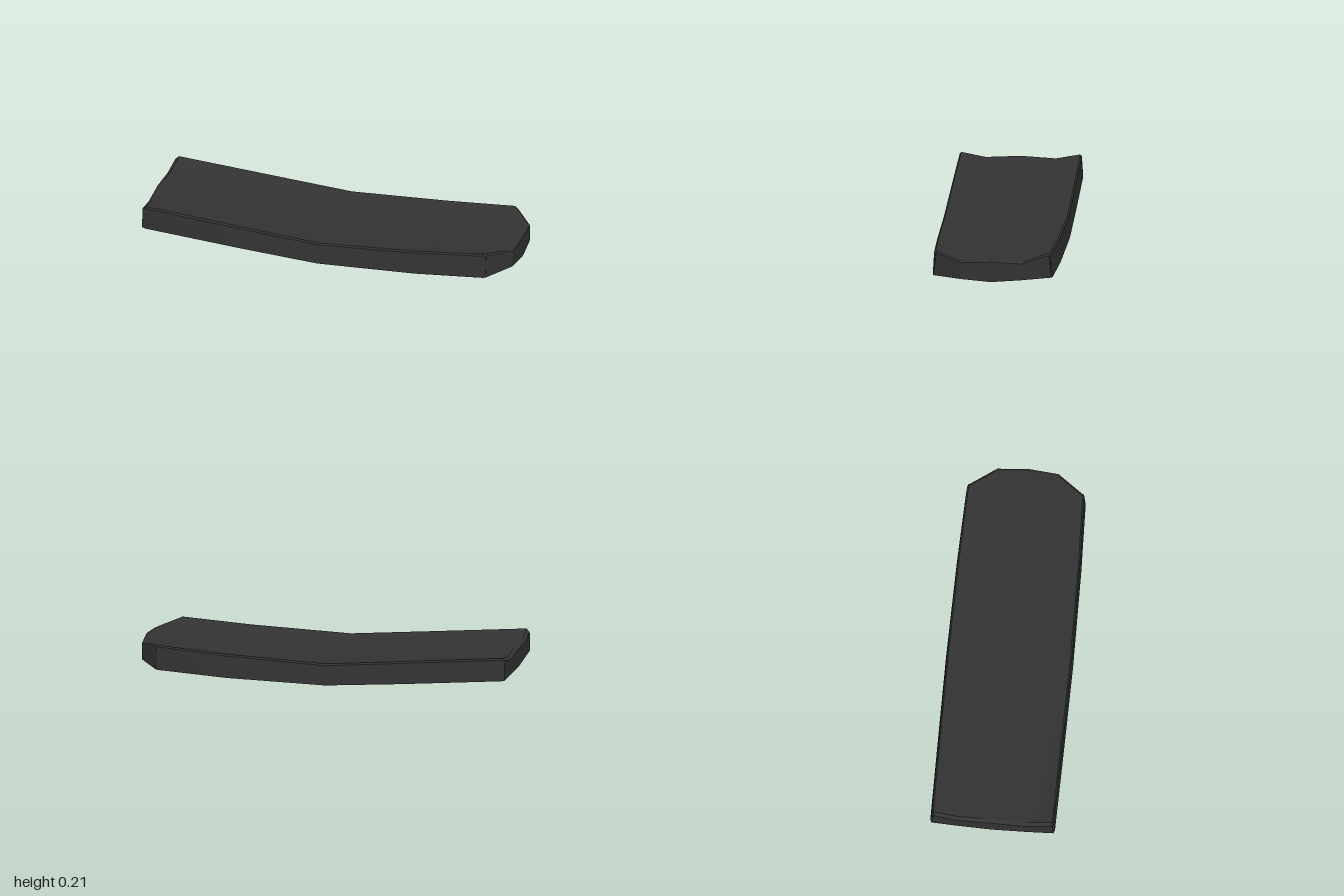
import * as THREE from 'three';
import { toCreasedNormals } from 'three/addons/utils/BufferGeometryUtils.js';

// Cross-sections along the slab; each triple is [centre, quarter, edge] across the width.
// top / bottom are heights, w is the half width at the bottom, m the quarter line.
const sections = [
  { x: [-1, -0.998, -0.992], top: [0.183, 0.173, 0.196], bottom: [0.086, 0.092, 0.091], m: 0.183, w: 0.322 },
  { x: [-0.98, -0.98, -0.975], top: [0.194, 0.184, 0.21], bottom: [0.084, 0.09, 0.089], m: 0.185, w: 0.329 },
  { x: [-0.45, -0.45, -0.45], top: [0.152, 0.148, 0.165], bottom: [0.036, 0.043, 0.046], m: 0.184, w: 0.333 },
  { x: [-0.03, -0.03, -0.03], top: [0.122, 0.118, 0.13], bottom: [0, 0.01, 0.016], m: 0.182, w: 0.335 },
  { x: [0.5, 0.5, 0.5], top: [0.138, 0.132, 0.151], bottom: [0.015, 0.024, 0.026], m: 0.175, w: 0.328 },
  { x: [0.985, 0.975, 0.87], top: [0.165, 0.153, 0.177], bottom: [0.046, 0.057, 0.046], m: 0.166, w: 0.316 },
  { x: [1, 0.99, 0.885], top: [0.157, 0.146, 0.167], bottom: [0.047, 0.058, 0.047], m: 0.162, w: 0.311 },
];
const N = 12;

// Ring of twelve points: half the outline, then its mirror image
function ring({ x, top, bottom, m, w }) {
  const half = [
    [x[0], top[0], 0],
    [x[1], top[1], m],
    [x[2], top[2], w - 0.015],
    [x[2], top[2] - 0.008, w - 0.007],
    [x[2], bottom[2], w],
    [x[1], bottom[1], m],
    [x[0], bottom[0], 0],
  ];
  const mirrored = half.slice(1, 6).reverse().map(([a, b, c]) => [a, b, -c]);
  return [...half, ...mirrored];
}

function slabGeometry() {
  const positions = sections.flatMap((s) => ring(s).flat());
  const index = [];
  // Skin between neighbouring rings
  for (let s = 0; s < sections.length - 1; s++) {
    for (let i = 0; i < N; i++) {
      const a = s * N + i, b = s * N + ((i + 1) % N);
      index.push(a, b, b + N, a, b + N, a + N);
    }
  }
  // End caps, in upright strips so the wavy outline stays filled correctly
  const cap = [[0, 1, 5], [0, 5, 6], [1, 2, 4], [1, 4, 5], [2, 3, 4],
    [0, 6, 7], [0, 7, 11], [11, 7, 8], [11, 8, 10], [10, 8, 9]];
  const last = (sections.length - 1) * N;
  for (const [a, b, c] of cap) {
    index.push(a, c, b);
    index.push(last + a, last + b, last + c);
  }
  const geometry = new THREE.BufferGeometry();
  geometry.setAttribute('position', new THREE.Float32BufferAttribute(positions, 3));
  geometry.setIndex(index);
  return toCreasedNormals(geometry, Math.PI / 6);
}

export function createModel() {
  const group = new THREE.Group();
  group.name = 'curvedSlab';
  const slab = new THREE.Mesh(slabGeometry(), new THREE.MeshStandardMaterial({ color: 0x333333 }));
  slab.name = 'slab';
  group.add(slab);
  return group;
}
